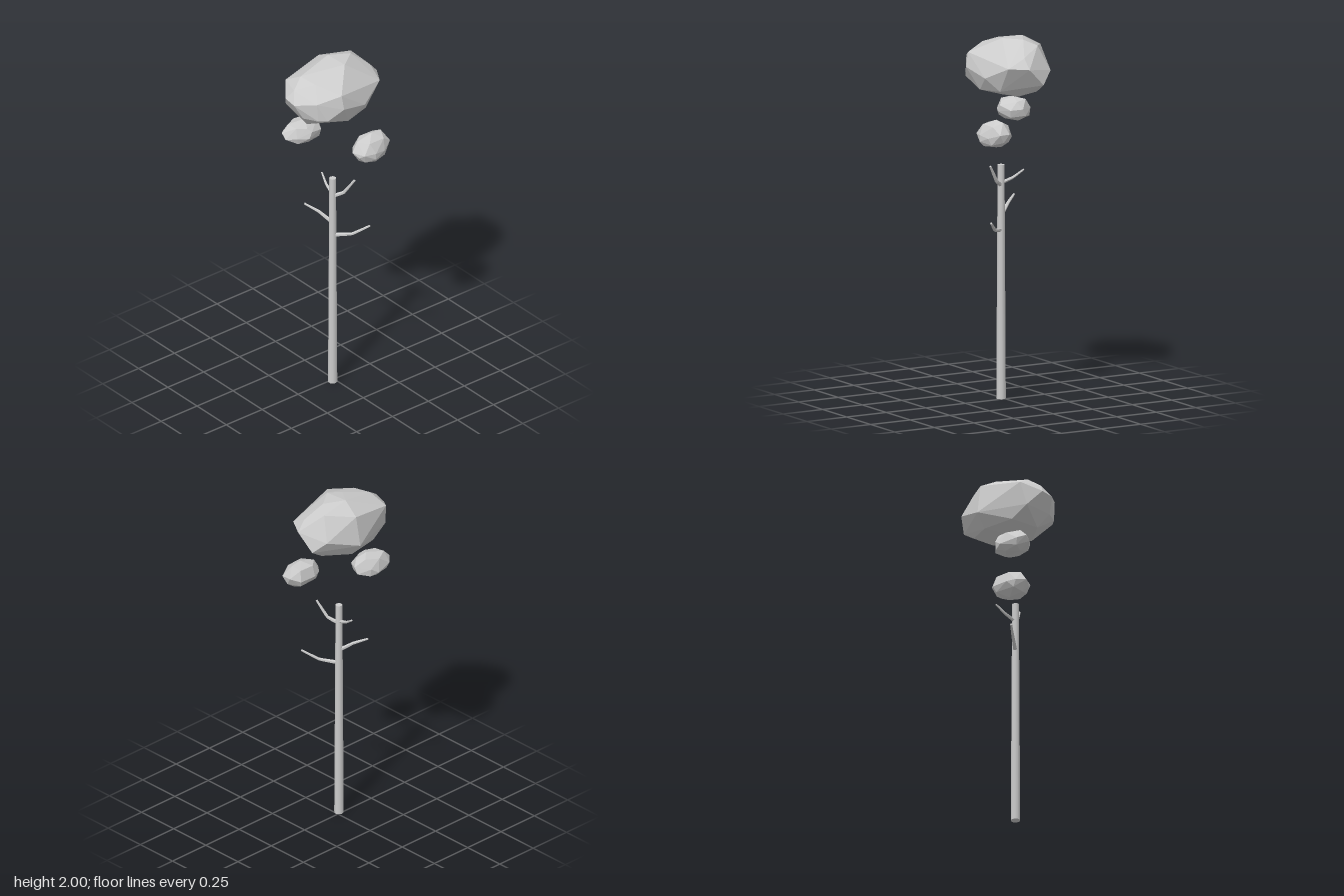
import * as THREE from 'three';
import { ConvexGeometry } from 'three/addons/geometries/ConvexGeometry.js';

const material = new THREE.MeshStandardMaterial({ color: 0xcccccc, flatShading: true });
const smoothMaterial = new THREE.MeshStandardMaterial({ color: 0xcccccc });
const vectors = (points) => points.map((p) => new THREE.Vector3(...p));

// Faceted leaf clump: the hull of a few corner points
function clump(name, points) {
  const mesh = new THREE.Mesh(new ConvexGeometry(vectors(points)), material);
  mesh.name = name;
  return mesh;
}

// Kinked twig: a tube that tapers, with its last ring folded in as a flat cap
function branch(name, points, r0 = 0.012, r1 = 0.006) {
  const curve = new THREE.CatmullRomCurve3(vectors(points), false, 'catmullrom', 0.1);
  const rings = 9, sides = 6;
  const geometry = new THREE.TubeGeometry(curve, rings, 1, sides);
  const pos = geometry.attributes.position;
  const v = new THREE.Vector3();
  for (let i = 0; i <= rings; i++) {
    const centre = curve.getPointAt(i / rings);
    const tip = curve.getPointAt(Math.min(i, rings - 1) / (rings - 1));
    const radius = i === rings ? 0 : r0 + (r1 - r0) * i / (rings - 1);
    for (let j = 0; j <= sides; j++) {
      const k = i * (sides + 1) + j;
      v.fromBufferAttribute(pos, k).sub(centre).multiplyScalar(radius).add(tip);
      pos.setXYZ(k, v.x, v.y, v.z);
    }
  }
  const mesh = new THREE.Mesh(geometry, material);
  mesh.name = name;
  return mesh;
}

export function createModel() {
  const tree = new THREE.Group();
  tree.name = 'tree';

  // Slim tapering trunk
  const trunk = new THREE.Mesh(new THREE.CylinderGeometry(0.019, 0.026, 1.287, 10), smoothMaterial);
  trunk.name = 'trunk';
  trunk.position.set(-0.02, 0.6435, 0.013);
  tree.add(trunk);

  // Branches, from the lowest to the highest
  tree.add(
    branch('lowerFrontBranch', [[-0.02, 0.928, 0.014], [0.05, 0.944, 0.093], [0.12, 1.0, 0.16]]),
    branch('middleBackBranch', [[-0.022, 1.008, 0.01], [-0.062, 1.06, -0.055], [-0.108, 1.096, -0.122]]),
    branch('upperFrontBranch', [[-0.018, 1.175, 0.016], [0.017, 1.205, 0.063], [0.045, 1.297, 0.12]]),
    branch('upperBackBranch', [[-0.02, 1.185, 0.012], [-0.008, 1.212, -0.058], [0.008, 1.252, -0.114]], 0.01, 0.005),
  );

  // Large crown: top, waist and underside corners
  tree.add(clump('crown', [
    [0.04, 1.995, 0.043], [0.14, 1.995, -0.03], [-0.04, 1.983, 0.007], [0.03, 1.998, -0.09],
    [0.19, 1.965, -0.09], [-0.18, 1.955, -0.065], [-0.163, 1.945, 0.043], [0.05, 1.942, -0.193],
    [-0.207, 1.9, -0.16], [-0.25, 1.905, -0.035], [-0.284, 1.855, -0.065], [-0.286, 1.845, 0.01],
    [-0.213, 1.87, 0.115], [-0.205, 1.765, 0.118], [-0.165, 1.765, 0.15], [-0.092, 1.91, 0.178],
    [-0.086, 1.83, 0.193], [0.075, 1.79, 0.172], [0.225, 1.86, 0.115], [0.235, 1.912, 0.02],
    [0.284, 1.855, 0.016], [0.27, 1.76, -0.08], [0.227, 1.83, -0.15], [0.046, 1.775, -0.222],
    [-0.245, 1.762, 0.037], [-0.23, 1.772, -0.13], [0.135, 1.683, 0], [-0.066, 1.662, -0.02],
    [-0.19, 1.688, 0], [0.05, 1.7, -0.16], [-0.13, 1.71, -0.14], [-0.02, 1.712, 0.146],
    [0.13, 1.72, 0.11], [0.2, 1.715, -0.08],
  ]));

  // Small clump behind, on the right
  tree.add(clump('backClump', [
    [-0.24, 1.577, -0.15], [-0.24, 1.55, -0.12], [-0.2, 1.618, -0.15], [-0.19, 1.615, -0.09],
    [-0.1, 1.636, -0.116], [-0.05, 1.625, -0.16], [-0.04, 1.615, -0.1], [-0.009, 1.577, -0.12],
    [-0.013, 1.54, -0.14], [-0.04, 1.57, -0.06], [-0.12, 1.59, -0.04], [-0.14, 1.555, -0.038],
    [-0.2, 1.56, -0.07], [-0.207, 1.56, -0.187], [-0.105, 1.545, -0.21], [-0.06, 1.575, -0.197],
    [-0.13, 1.612, -0.187], [-0.18, 1.508, -0.13], [-0.07, 1.506, -0.125], [-0.12, 1.516, -0.07],
    [-0.12, 1.512, -0.175], [-0.19, 1.525, -0.075], [-0.05, 1.53, -0.065], [-0.195, 1.525, -0.175],
    [-0.06, 1.53, -0.19], [-0.14, 1.61, -0.06],
  ]));

  // Small clump in front, on the left
  tree.add(clump('frontClump', [
    [0.014, 1.492, 0.14], [0.03, 1.47, 0.18], [0.05, 1.545, 0.135], [0.145, 1.573, 0.143],
    [0.21, 1.566, 0.14], [0.1, 1.545, 0.092], [0.09, 1.545, 0.195], [0.19, 1.543, 0.192],
    [0.045, 1.49, 0.208], [0.11, 1.49, 0.226], [0.11, 1.455, 0.226], [0.178, 1.48, 0.215],
    [0.245, 1.503, 0.178], [0.245, 1.505, 0.12], [0.235, 1.46, 0.15], [0.2, 1.485, 0.078],
    [0.1, 1.485, 0.075], [0.05, 1.49, 0.095], [0.13, 1.418, 0.135], [0.05, 1.434, 0.15],
    [0.19, 1.43, 0.14], [0.12, 1.43, 0.207], [0.07, 1.452, 0.098], [0.19, 1.452, 0.092],
    [0.19, 1.443, 0.2], [0.06, 1.44, 0.195], [0.19, 1.545, 0.095],
  ]));

  return tree;
}
